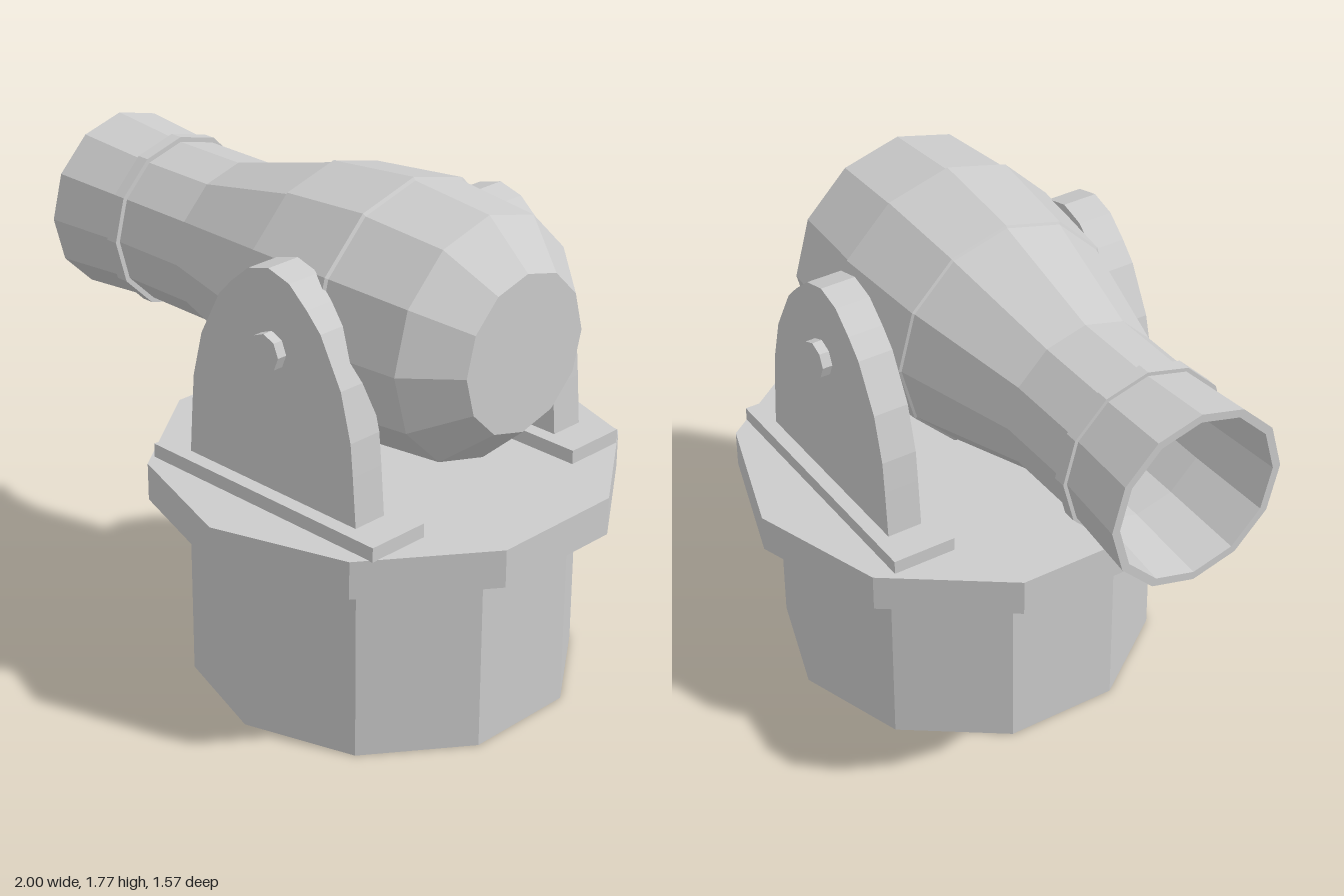
import * as THREE from 'three';

const material = new THREE.MeshStandardMaterial({ color: 0xcccccc, flatShading: true });

function addMesh(parent, name, geometry, x, y, z) {
  const mesh = new THREE.Mesh(geometry, material);
  mesh.name = name;
  mesh.position.set(x, y, z);
  parent.add(mesh);
  return mesh;
}

// Half outline of a support: [half width, height above its foot]
const SUPPORT = [
  [0.375, 0], [0.362, 0.17], [0.352, 0.28], [0.31, 0.44],
  [0.224, 0.6], [0.166, 0.66], [0.09, 0.725], [0, 0.75],
];

// Barrel profile: [position along x, radius], from the bore out over the muzzle to the breech
const BARREL = [
  [-0.2, 0], [-0.2, 0.25], [-0.4, 0.255], [-0.7, 0.258], [-1, 0.282],
  [-1, 0.31], [-0.73, 0.287],
  [-0.73, 0.3], [-0.685, 0.3], [-0.685, 0.283],
  [-0.4, 0.283], [0.04, 0.4], [0.045, 0.408],
  [0.395, 0.445], [0.402, 0.435], [0.71, 0.407], [0.87, 0.263], [0.87, 0],
];

function supportGeometry(depth) {
  const right = SUPPORT.map(([x, y]) => new THREE.Vector2(x, y));
  const left = SUPPORT.slice(0, -1).reverse().map(([x, y]) => new THREE.Vector2(-x, y));
  return new THREE.ExtrudeGeometry(new THREE.Shape([...right, ...left]), { depth, bevelEnabled: false })
    .translate(0, 0, -depth / 2);
}

export function createModel() {
  const model = new THREE.Group();
  model.name = 'cannon';
  const cx = 0.25;

  // Ten-sided pedestal and its overhanging deck
  addMesh(model, 'pedestal', new THREE.CylinderGeometry(0.65, 0.65, 0.65, 10), cx, 0.325, 0);
  addMesh(model, 'deck', new THREE.CylinderGeometry(0.785, 0.785, 0.13, 10), cx, 0.715, 0);

  // A foot, an arched support and a pivot bolt on each side
  for (const [name, side] of [['front', 1], ['back', -1]]) {
    const mount = new THREE.Group();
    mount.name = name + 'Mount';
    mount.position.set(0.264, 0, 0.01 + side * 0.463);
    model.add(mount);
    addMesh(mount, 'foot', new THREE.BoxGeometry(0.995, 0.05, 0.225), 0, 0.803, 0);
    addMesh(mount, 'support', supportGeometry(0.124), 0, 0.828, 0);
    const bolt = new THREE.CylinderGeometry(0.063, 0.063, 0.08, 8).rotateX(Math.PI / 2);
    addMesh(mount, 'pivotBolt', bolt, 0.012, 1.312, side * 0.057);
  }

  // Twelve-sided hollow barrel lying along x, muzzle towards -x
  const barrel = new THREE.LatheGeometry(BARREL.map(([x, r]) => new THREE.Vector2(r, x)), 12);
  barrel.rotateZ(-Math.PI / 2);
  addMesh(model, 'barrel', barrel, 0, 1.33, 0.04);

  return model;
}
